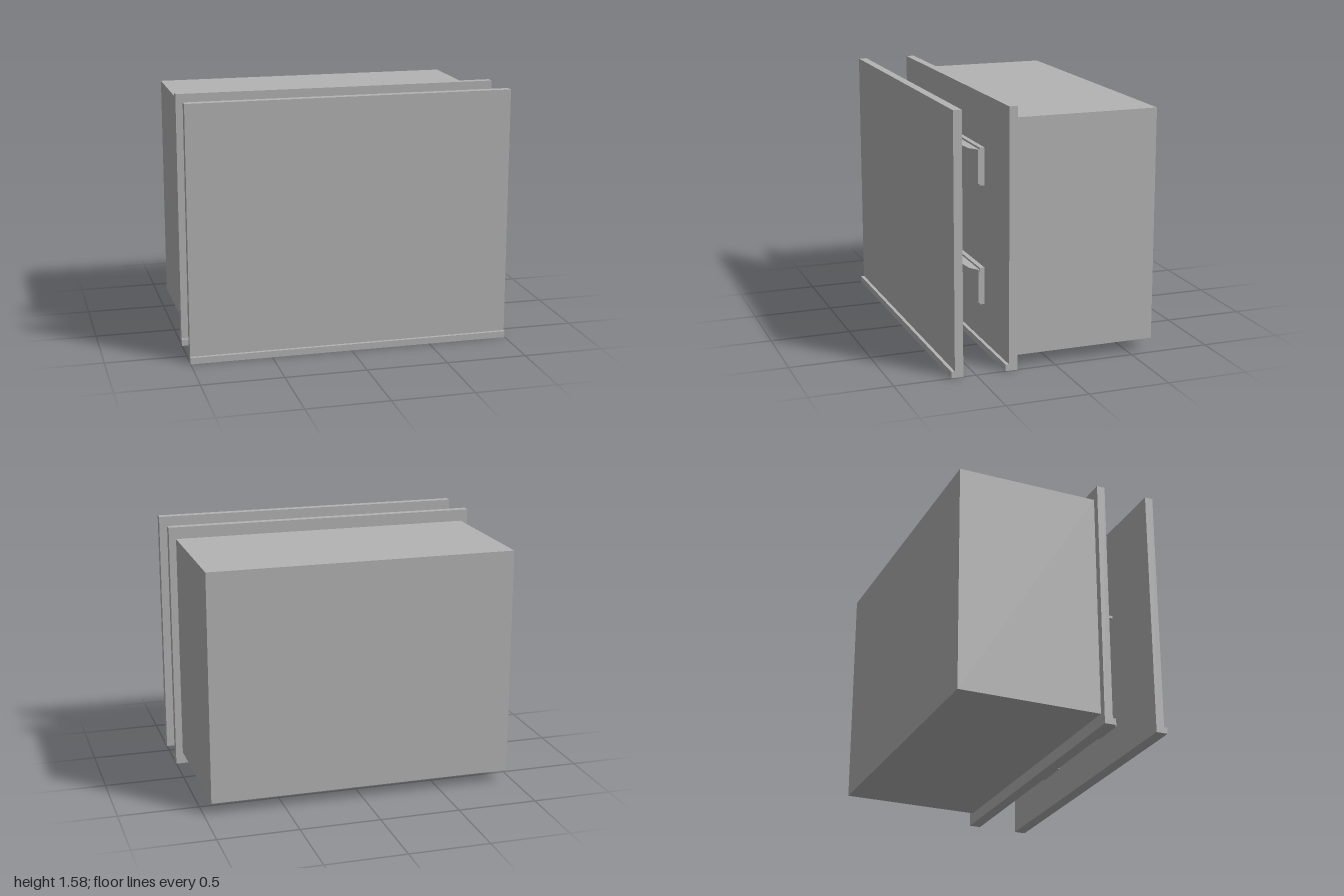
import * as THREE from 'three';

export function createModel() {
  const model = new THREE.Group();
  model.name = 'cabinetWithFrontPanel';
  const grey = new THREE.MeshStandardMaterial({ color: 0xb3b3b3 });
  grey.name = 'plainGrey';

  // Box given by its limits on each axis
  function box(name, [x0, x1], [y0, y1], [z0, z1], parent = model) {
    const mesh = new THREE.Mesh(new THREE.BoxGeometry(x1 - x0, y1 - y0, z1 - z0), grey);
    mesh.position.set((x0 + x1) / 2, (y0 + y1) / 2, (z0 + z1) / 2);
    mesh.name = name;
    parent.add(mesh);
  }

  // Panel with a small lip along its bottom front edge, extruded across x
  function panel(name, z) {
    const profile = [[0, 0], [0.073, 0], [0.073, 0.04], [0.052, 0.04], [0.052, 1.58], [0, 1.58]];
    const shape = new THREE.Shape(profile.map(([d, y]) => new THREE.Vector2(-d, y)));
    const geometry = new THREE.ExtrudeGeometry(shape, { depth: 2, bevelEnabled: false });
    geometry.translate(0, 0, -1).rotateY(Math.PI / 2);
    const mesh = new THREE.Mesh(geometry, grey);
    mesh.position.z = z;
    mesh.name = name;
    model.add(mesh);
  }

  box('cabinetBody', [-0.955, 0.955], [0.075, 1.505], [-0.65, 0.242]);
  panel('rearPanel', 0.242);
  panel('frontPanel', 0.578);

  // Hooked latch outline seen from above: x, z
  const hook = [[-0.62, 0.35], [-0.62, 0.472], [-0.52, 0.495], [-0.44, 0.446],
    [-0.405, 0.419], [-0.21, 0.396], [-0.152, 0.358], [-0.152, 0.35]];
  const hookShape = new THREE.Shape(hook.map(([x, z]) => new THREE.Vector2(x, -z)));
  const hookGeometry = new THREE.ExtrudeGeometry(hookShape, { depth: 0.208, bevelEnabled: false });
  hookGeometry.rotateX(-Math.PI / 2);

  // Two rows of two latches, each facing a strike tab on the front panel
  for (const dy of [0, 0.738]) {
    for (const dx of [0, 0.8]) {
      const latch = new THREE.Group();
      latch.name = 'latch';
      latch.position.set(dx, dy, 0);
      box('latchBase', [-0.63, -0.15], [0.308, 0.538], [0.32, 0.35], latch);
      const body = new THREE.Mesh(hookGeometry, grey);
      body.position.y = 0.318;
      body.name = 'latchHook';
      latch.add(body);
      box('latchRidge', [-0.456, -0.44], [0.327, 0.52], [0.445, 0.456], latch);
      box('strikeTab', [-0.52, -0.288], [0.215, 0.233], [0.515, 0.578], latch);
      model.add(latch);
    }
  }
  return model;
}
